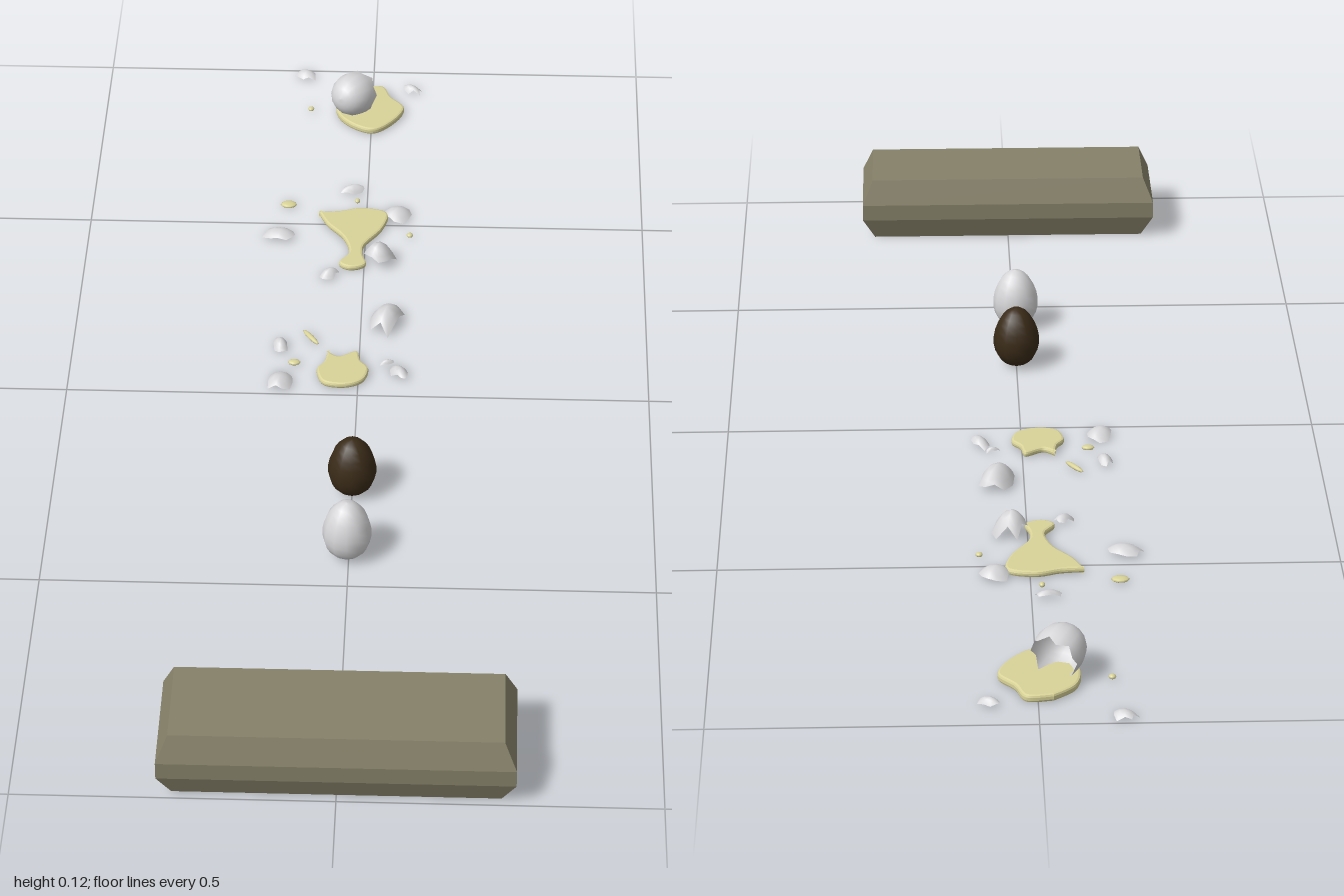
import * as THREE from 'three';

const material = (name, color) => Object.assign(new THREE.MeshStandardMaterial({ color }), { name });

export function createModel() {
  const root = new THREE.Group();
  const cardboard = material('cardboard', 0x868169);
  const white = material('white shell', 0xd6d6d8);
  white.side = THREE.DoubleSide;
  const brown = material('brown shell', 0x3a2b18);
  const yolk = material('spilled yolk', 0xd9d398);

  let seed = 7;
  const random = () => (seed = (seed * 16807) % 2147483647) / 2147483647;

  const add = (name, geometry, mat, x = 0, y = 0, z = 0) => {
    const mesh = new THREE.Mesh(geometry, mat);
    mesh.name = name;
    mesh.position.set(x, y, z);
    root.add(mesh);
    return mesh;
  };

  // Closed carton: rectangular rings [y, half width, half depth] joined by flat faces
  const rings = [[0, 0.252, 0.078], [0.04, 0.274, 0.093], [0.07, 0.274, 0.093], [0.115, 0.255, 0.077]];
  const position = [], index = [];
  for (const [y, w, d] of rings) position.push(-w, y, d, w, y, d, w, y, -d, -w, y, -d);
  for (let r = 0; r < 3; r++) {
    for (let i = 0; i < 4; i++) {
      const a = r * 4 + i, b = r * 4 + (i + 1) % 4;
      index.push(a, b, b + 4, a, b + 4, a + 4);
    }
  }
  index.push(0, 2, 1, 0, 3, 2, 12, 13, 14, 12, 14, 15);
  const indexed = new THREE.BufferGeometry();
  indexed.setAttribute('position', new THREE.Float32BufferAttribute(position, 3));
  indexed.setIndex(index);
  const carton = indexed.toNonIndexed();
  carton.computeVertexNormals();
  add('carton', carton, cardboard, 0, 0, 0.907);

  // Whole eggs, widest below the middle
  const eggProfile = (end, steps) => Array.from({ length: steps + 1 }, (_, i) => {
    const t = end * i / steps;
    return new THREE.Vector2(Math.max(0, 0.04 * Math.sin(t) * (1 + 0.14 * Math.cos(t))), 0.055 - 0.055 * Math.cos(t));
  });
  const egg = new THREE.LatheGeometry(eggProfile(Math.PI, 12), 12);
  add('whiteEgg', egg, white, -0.003, 0, 0.42);
  add('brownEgg', egg, brown, 0, 0, 0.257);

  // Spilled yolk puddles, outlined from above as [x, z]
  const puddle = (points, height) => {
    const shape = new THREE.Shape();
    const bevel = 0.004;
    shape.moveTo(points[0][0], -points[0][1]);
    shape.splineThru([...points.slice(1), points[0]].map(([x, z]) => new THREE.Vector2(x, -z)));
    const geometry = new THREE.ExtrudeGeometry(shape, {
      depth: height - 2 * bevel, steps: 1, curveSegments: 32,
      bevelSize: bevel, bevelOffset: -bevel, bevelThickness: bevel, bevelSegments: 2,
    });
    geometry.rotateX(-Math.PI / 2).translate(0, bevel, 0);
    add('yolkPuddle', geometry, yolk);
  };
  puddle([[-0.055, -0.112], [-0.035, -0.098], [-0.005, -0.113], [0.003, -0.087], [0.017, -0.065],
    [0.008, -0.033], [-0.023, -0.018], [-0.06, -0.025], [-0.072, -0.06], [-0.06, -0.083]], 0.011);
  puddle([[-0.087, -0.527], [-0.05, -0.53], [-0.008, -0.541], [0.037, -0.527], [0.03, -0.48], [0, -0.43],
    [-0.003, -0.4], [0.003, -0.37], [-0.024, -0.358], [-0.045, -0.373], [-0.028, -0.405],
    [-0.04, -0.45], [-0.07, -0.49]], 0.011);
  puddle([[-0.024, -0.933], [0.018, -0.935], [0.035, -0.9], [0.06, -0.865], [0.04, -0.82],
    [0.003, -0.79], [-0.04, -0.81], [-0.066, -0.85], [-0.06, -0.9]], 0.013);

  // Yolk droplets [x, z, radius x, radius z, turn]
  const drop = new THREE.SphereGeometry(1, 10, 6);
  for (const [x, z, rx, rz, turn = 0] of [
    [-0.086, -0.157, 0.005, 0.025, 0.6], [-0.112, -0.085, 0.011, 0.008],
    [-0.143, -0.555, 0.015, 0.011], [-0.018, -0.57, 0.005, 0.006], [0.08, -0.466, 0.006, 0.006],
    [-0.115, -0.866, 0.006, 0.006],
  ]) {
    const mesh = add('yolkDroplet', drop, yolk, x, 0.004, z);
    mesh.scale.set(rx, 0.004, rz);
    mesh.rotation.y = turn;
  }

  // Jagged curved shell pieces [x, z, width, depth, height, turn]
  const shard = (width, depth, height) => {
    const n = 11, geometry = new THREE.BufferGeometry();
    const verts = [0, height, 0], faces = [];
    const reach = Array.from({ length: n }, () => 0.62 + 0.42 * random());
    for (const s of [0.5, 0.8, 1]) {
      reach.forEach((k, i) => {
        const a = i / n * Math.PI * 2, r = s * k;
        verts.push(Math.sin(a) * r * width / 2, height * Math.max(0, 1 - r * r), Math.cos(a) * r * depth / 2);
      });
    }
    for (let i = 0; i < n; i++) {
      const j = (i + 1) % n;
      faces.push(0, 1 + i, 1 + j);
      for (let r = 0; r < 2; r++) {
        const a = 1 + r * n + i, b = 1 + r * n + j;
        faces.push(a, a + n, b + n, a, b + n, b);
      }
    }
    geometry.setAttribute('position', new THREE.Float32BufferAttribute(verts, 3));
    geometry.setIndex(faces);
    geometry.computeVertexNormals();
    return geometry;
  };
  for (const [x, z, w, d, h, turn] of [
    [0.045, -0.207, 0.065, 0.095, 0.036, -0.35], [-0.138, -0.135, 0.03, 0.045, 0.016, 0.3],
    [-0.135, -0.032, 0.05, 0.06, 0.016, -0.3], [0.072, -0.06, 0.032, 0.055, 0.015, 0.5],
    [0.05, -0.09, 0.03, 0.012, 0.01, 0.2],
    [-0.154, -0.46, 0.07, 0.05, 0.016, -0.2], [0.056, -0.53, 0.06, 0.055, 0.018, 0.4],
    [0.026, -0.387, 0.068, 0.068, 0.043, 0], [-0.06, -0.347, 0.04, 0.028, 0.014, 0.5],
    [-0.026, -0.606, 0.058, 0.024, 0.014, 0.2],
    [-0.128, -0.982, 0.048, 0.034, 0.013, -0.4], [0.073, -0.938, 0.046, 0.024, 0.013, -0.5],
  ]) add('shellFragment', shard(w, d, h), white, x, 0, z).rotation.y = turn;

  // Broken half shell with a ragged rim, its opening tipped to the back
  const segments = 14, steps = 8;
  const half = new THREE.LatheGeometry(eggProfile(1.75, steps), segments);
  const p = half.attributes.position;
  for (let i = 0; i <= segments; i++) {
    const k = i * (steps + 1) + steps;
    p.setY(k, p.getY(k) + [0.006, -0.005, 0.002, -0.007][(i % segments) % 4]);
  }
  half.translate(0, -0.035, 0);
  const shell = add('halfShell', half, white, -0.04, 0.049, -0.848);
  shell.quaternion.setFromUnitVectors(new THREE.Vector3(0, 1, 0), new THREE.Vector3(0.5, -0.25, -0.8).normalize());

  return root;
}
